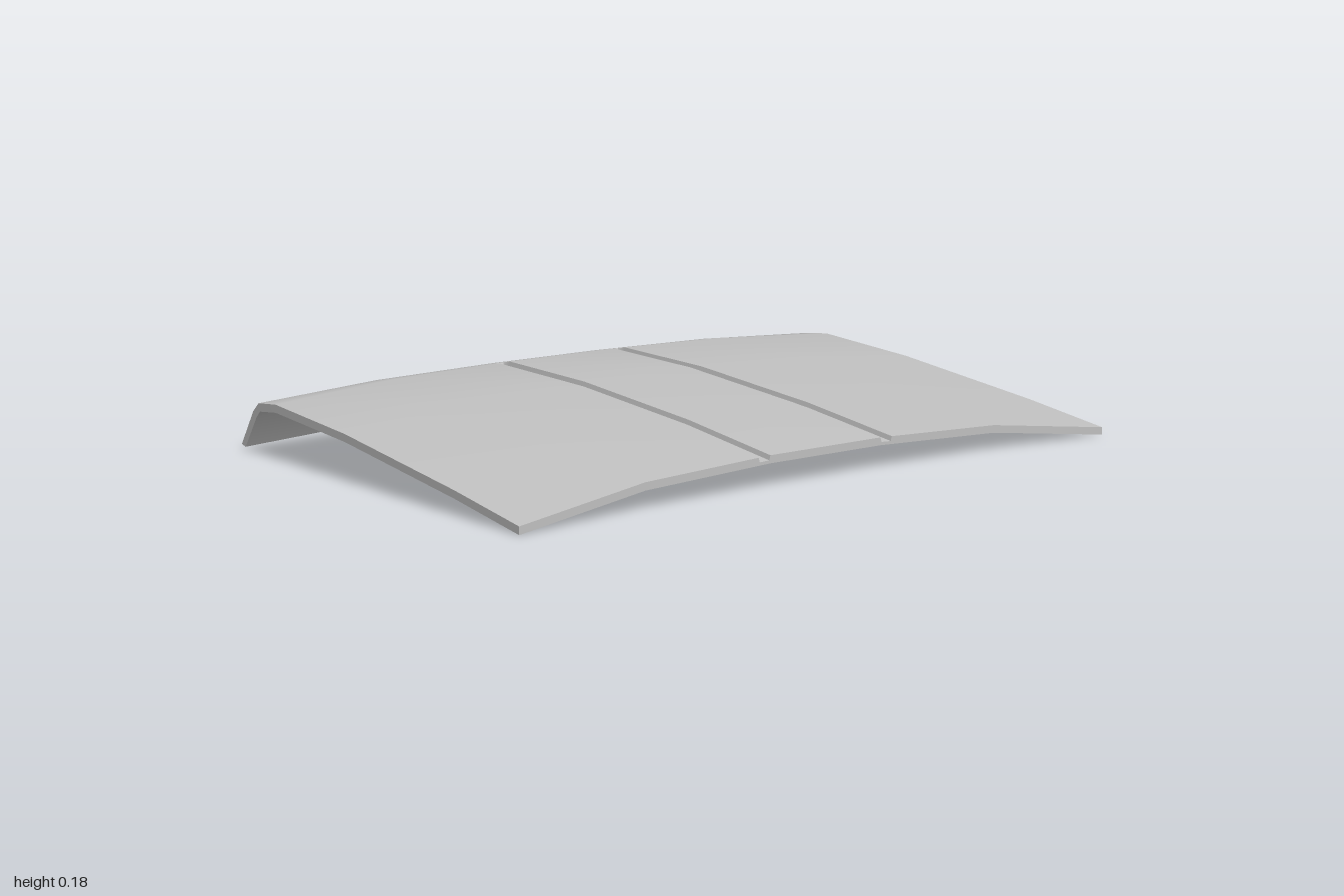
import * as THREE from 'three';
import { toCreasedNormals } from 'three/addons/utils/BufferGeometryUtils.js';

// Section rows from front edge to the lip of the rear flap:
// [z, y] on the centre line, [z, y] at the sides, [z, y] step to the inner face
const ROWS = [
  [0.645, 0.085, 0.68, 0.021, 0, -0.021],
  [0.315, 0.128, 0.405, 0.062, 0, -0.021],
  [-0.14, 0.168, -0.1, 0.124, 0, -0.021],
  [-0.49, 0.178, -0.45, 0.15, 0, -0.022],
  [-0.575, 0.163, -0.54, 0.141, 0.006, -0.022],
  [-0.605, 0.135, -0.57, 0.115, 0.017, -0.014],
  [-0.68, 0.03, -0.637, 0.015, 0.02, -0.005],
];
const FLAP = 5;
const { lerp, clamp } = THREE.MathUtils;

// Sideways falloff from the centre section to the side section
function falloff(u) {
  const a = Math.abs(u);
  if (a < 0.19) return 0;
  return a < 0.6 ? lerp(0, 0.23, (a - 0.19) / 0.41) : lerp(0.23, 1, (a - 0.6) / 0.4);
}

// Point on the lid: u across, r along the rows, d = 0 outer face, 1 inner face
function point(u, r, d) {
  const i = clamp(Math.floor(r), 0, ROWS.length - 2);
  const s = ROWS[i].map((v, k) => lerp(v, ROWS[i + 1][k], r - i));
  const f = falloff(u);
  const z = lerp(s[0], s[2], f);
  const y = lerp(s[1], s[3], f);
  const width = lerp(0.978, 1, clamp((z + 0.64) / 1.29, 0, 1));
  return new THREE.Vector3(u * width, y + d * s[5], z + d * s[4]);
}

// Triangles of a sheet over two lists of parameters
function sheet(A, B, at) {
  const out = [];
  for (let i = 0; i < A.length - 1; i++) {
    for (let j = 0; j < B.length - 1; j++) {
      const a = at(A[i], B[j]), b = at(A[i], B[j + 1]);
      const c = at(A[i + 1], B[j]), e = at(A[i + 1], B[j + 1]);
      out.push(a, b, c, b, e, c);
    }
  }
  return out;
}

// Triangles of a flat shape drawn on the flap
function onFlap(outline, hole, d) {
  const shape = new THREE.Shape(outline);
  if (hole) shape.holes.push(new THREE.Path(hole));
  const p = new THREE.ShapeGeometry(shape).toNonIndexed().attributes.position;
  return Array.from({ length: p.count }, (_, i) => point(p.getX(i), FLAP + p.getY(i), d));
}

// Rounded slot outline in flap coordinates
function slot(cx, grow) {
  const pts = [];
  for (let i = 0; i < 20; i++) {
    const side = i < 10 ? 1 : -1;
    const a = -Math.PI / 2 + (i < 10 ? i : i - 1 + 1 - 10 + 9 + 1 - 0) * Math.PI / 9 - (i < 10 ? 0 : Math.PI / 9);
    pts.push(new THREE.Vector2(
      cx + side * 0.156 + (0.02 + grow) * Math.cos(a),
      0.55 + (0.24 + grow / 0.125) * Math.sin(a)));
  }
  return pts;
}

export function createModel() {
  const grey = new THREE.MeshStandardMaterial({ color: 0xbfbfbf });
  grey.name = 'light grey';
  const group = new THREE.Group();
  group.name = 'panelLid';

  function add(name, tris) {
    const geometry = toCreasedNormals(new THREE.BufferGeometry().setFromPoints(tris), 0.75);
    const mesh = new THREE.Mesh(geometry, grey);
    mesh.name = name;
    group.add(mesh);
  }

  const half = [0.19, 0.194, 0.226, 0.23, 0.6, 1];
  const cols = [...half.map((u) => -u).reverse(), ...half];
  const rows = [0, 1, 2, 3, 3.3, 3.35, 4, FLAP];
  const rowsAll = [...rows, 6];

  // Outer face with two long grooves
  const groove = (u, r) => (Math.abs(Math.abs(u) - 0.21) < 0.018 && r < 3.32 ? 0.6 : 0);
  const skin = sheet(rows, cols, (r, u) => point(u, r, groove(u, r)));

  // Rear flap in five panels, three of them cut for slots
  const splits = [-1, -0.6, -0.19, 0.19, 0.6, 1];
  const slots = [null, -0.405, 0, 0.405, null];
  slots.forEach((cx, i) => {
    const [l, r] = [splits[i], splits[i + 1]];
    const outline = [[l, 0], [r, 0], [r, 1], [l, 1]].map((p) => new THREE.Vector2(...p));
    skin.push(...onFlap(outline, cx === null ? null : slot(cx, 0.01), 0));
  });
  add('outerSkin', skin);

  // Slots: raised rim, walls and recessed floor
  slots.filter((cx) => cx !== null).forEach((cx) => {
    const rings = [[0.01, 0], [0.007, -0.2], [0.001, -0.2], [-0.002, 0.8]];
    const around = Array.from({ length: 21 }, (_, k) => k);
    const tris = sheet(rings, around, ([grow, d], k) => {
      const p = slot(cx, grow)[k % 20];
      return point(p.x, FLAP + p.y, d);
    });
    tris.push(...onFlap(slot(cx, -0.002), null, 0.8));
    add('ventSlot', tris);
  });

  // Inner face
  const back = [...cols].reverse();
  add('underside', sheet(rowsAll, back, (r, u) => point(u, r, 1)));

  // Rim between the two faces
  add('edges', [
    ...sheet([0, 1], back, (k, u) => point(u, 0, k || groove(u, 0))),
    ...sheet([0, 1], cols, (d, u) => point(u, 6, d)),
    ...sheet([1, 0], rowsAll, (d, r) => point(1, r, d)),
    ...sheet([0, 1], rowsAll, (d, r) => point(-1, r, d)),
  ]);
  return group;
}
